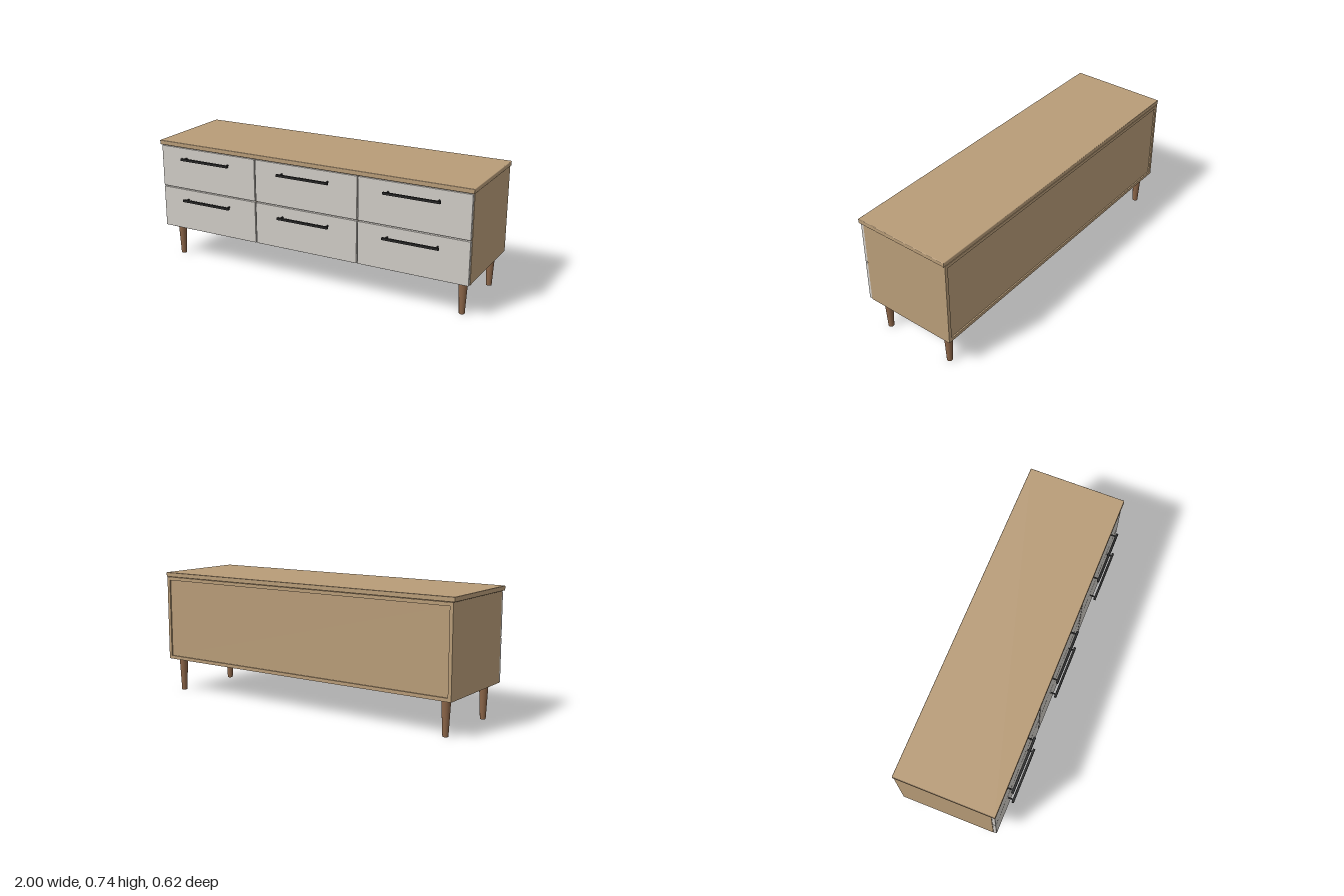
import * as THREE from 'three';
import { RoundedBoxGeometry } from 'three/addons/geometries/RoundedBoxGeometry.js';

export function createModel() {
  const model = new THREE.Group();
  model.name = 'sideboard';
  const material = (color) => new THREE.MeshStandardMaterial({ color });
  const oak = material(0xb89c78);
  const paint = material(0xd0ccc6);
  const walnut = material(0x8b6548);
  const black = material(0x262626);

  const add = (parent, name, geometry, mat, x, y, z) => {
    const mesh = new THREE.Mesh(geometry, mat);
    mesh.name = name;
    mesh.position.set(x, y, z);
    parent.add(mesh);
    return mesh;
  };
  // Box given by its lower and upper bounds on each axis
  const panel = (parent, name, mat, [x0, x1], [y0, y1], [z0, z1], radius = 0) => {
    const size = [x1 - x0, y1 - y0, z1 - z0];
    const geometry = radius
      ? new RoundedBoxGeometry(...size, 2, radius)
      : new THREE.BoxGeometry(...size);
    return add(parent, name, geometry, mat, (x0 + x1) / 2, (y0 + y1) / 2, (z0 + z1) / 2);
  };

  // Carcass: outer panels, recessed back, dividers and a middle rail
  const W = 0.992, T = 0.02, Y0 = 0.202, Y1 = 0.715, BACK = -0.31, FRONT = 0.25;
  const inner = [-W + T, W - T];
  const carcass = new THREE.Group();
  carcass.name = 'carcass';
  model.add(carcass);
  for (const [name, x] of [['rightSide', -W], ['leftSide', W - T]]) {
    panel(carcass, name, oak, [x, x + T], [Y0, Y1], [BACK, FRONT]);
  }
  panel(carcass, 'bottomPanel', oak, inner, [Y0, Y0 + T], [BACK, FRONT]);
  panel(carcass, 'upperPanel', oak, inner, [Y1 - T, Y1], [BACK, FRONT]);
  panel(carcass, 'backPanel', oak, inner, [Y0 + T, Y1 - T], [BACK + 0.008, BACK + 0.018]);
  for (const x of [-0.331, 0.331]) {
    panel(carcass, 'divider', oak, [x - T / 2, x + T / 2], [Y0 + T, Y1 - T], [BACK + 0.018, FRONT]);
  }
  panel(carcass, 'middleRail', oak, inner, [0.446, 0.466], [FRONT - 0.05, FRONT - 0.001]);

  // Overhanging top
  panel(model, 'top', oak, [-1, 1], [0.716, 0.743], [BACK, 0.277], 0.004);

  // Six drawer fronts, each with a bar handle on two posts
  const barGeometry = new THREE.BoxGeometry(0.33, 0.013, 0.013);
  const postGeometry = new THREE.CylinderGeometry(0.0045, 0.0045, 0.03, 16).rotateX(Math.PI / 2);
  const rows = [
    { y: [0.459, 0.711], handleY: 0.651 },
    { y: [0.202, 0.453], handleY: 0.393 },
  ];
  for (const { y, handleY } of rows) {
    for (const x of [-0.662, 0, 0.662]) {
      const drawer = new THREE.Group();
      drawer.name = 'drawer';
      model.add(drawer);
      panel(drawer, 'drawerFront', paint, [x - 0.328, x + 0.328], y, [FRONT, 0.27], 0.002);
      add(drawer, 'handleBar', barGeometry, black, x, handleY, 0.303);
      for (const side of [-1, 1]) {
        add(drawer, 'handlePost', postGeometry, black, x + side * 0.147, handleY, 0.283);
      }
    }
  }

  // Tapered round legs
  const legGeometry = new THREE.CylinderGeometry(0.026, 0.016, Y0, 32);
  for (const x of [-0.931, 0.931]) {
    for (const z of [0.187, -0.248]) {
      add(model, 'leg', legGeometry, walnut, x, Y0 / 2, z);
    }
  }

  return model;
}
